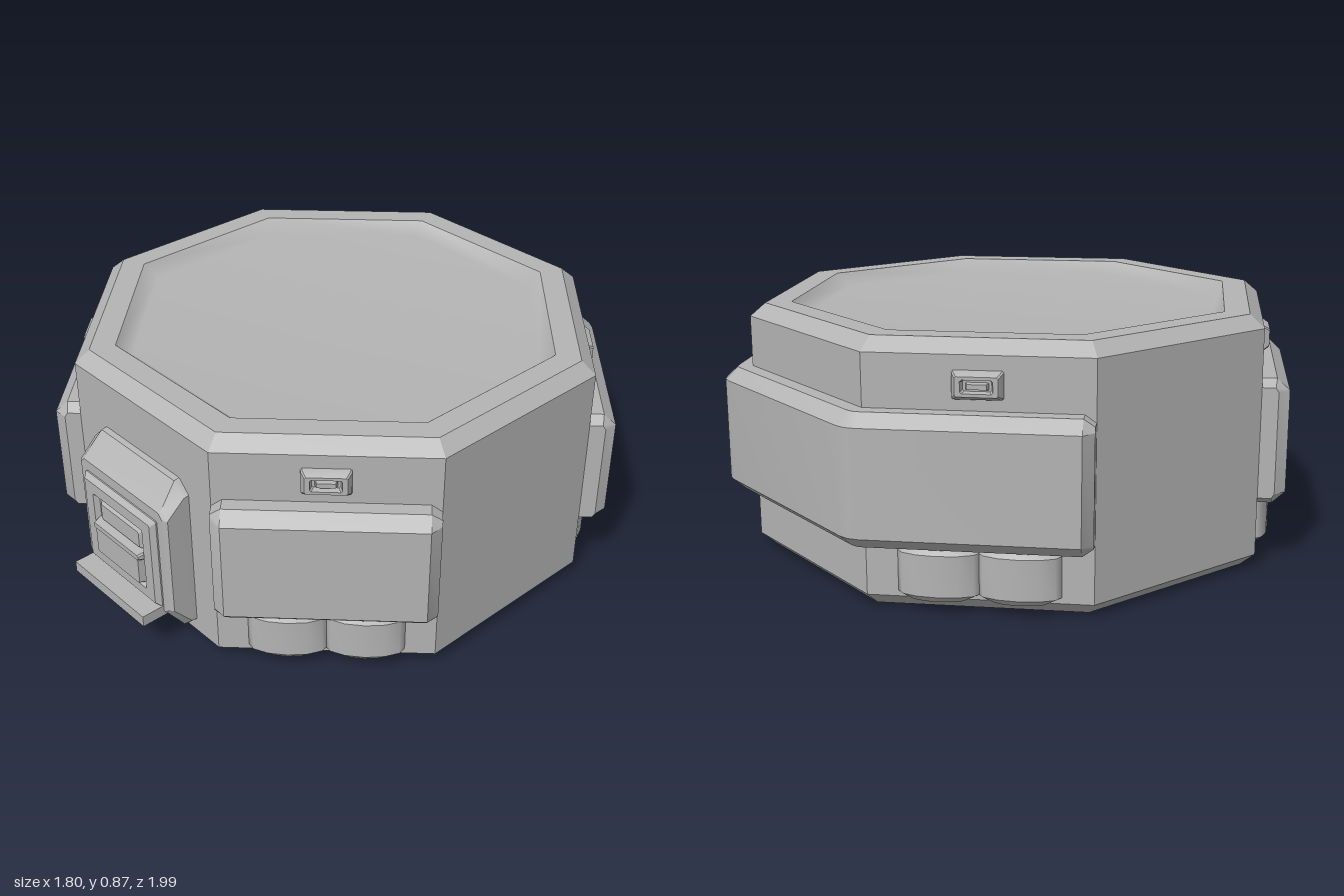
import * as THREE from 'three';
import { toCreasedNormals } from 'three/addons/utils/BufferGeometryUtils.js';

const APO = 0.86, HALF = 0.356, CZ = -0.04, RAD = Math.PI / 180;

// Skin a list of equal-length rings; each ring runs counter-clockwise seen from the last one
function loft(rings, capStart = false) {
  const n = rings[0].length, index = [];
  for (let i = 0; i < rings.length - 1; i++) {
    for (let j = 0; j < n; j++) {
      const k = (j + 1) % n, a = i * n + j, b = i * n + k;
      index.push(a, b, b + n, a, b + n, a + n);
    }
  }
  const last = (rings.length - 1) * n;
  for (let j = 1; j < n - 1; j++) {
    index.push(last, last + j, last + j + 1);
    if (capStart) index.push(0, j + 1, j);
  }
  const geo = new THREE.BufferGeometry();
  geo.setAttribute('position', new THREE.Float32BufferAttribute(rings.flat(2), 3));
  geo.setIndex(index);
  return toCreasedNormals(geo, 0.5);
}

// Rectangle ring facing +z with cut corners
function rect(hw, y0, y1, z, cut = 0.005) {
  return [
    [hw, y0 + cut, z], [hw, y1 - cut, z], [hw - cut, y1, z], [-hw + cut, y1, z],
    [-hw, y1 - cut, z], [-hw, y0 + cut, z], [-hw + cut, y0, z], [hw - cut, y0, z],
  ];
}

// Eight-sided lathe from [apothem, y] pairs, flat sides facing the axes
function octagon(profile) {
  const points = profile.map(([a, y]) => new THREE.Vector2(a / Math.cos(Math.PI / 8), y));
  return new THREE.LatheGeometry(points, 8, Math.PI / 8);
}

// One cross-section of an armour band: on face angle `deg`, `s` along the face
function bandRing(deg, s, end, normalDeg = deg) {
  const n = [Math.sin(deg * RAD), Math.cos(deg * RAD)];
  const m = [Math.sin(normalDeg * RAD), Math.cos(normalDeg * RAD)];
  const x = n[0] * APO - n[1] * s, z = CZ + n[1] * APO + n[0] * s;
  const profile = end
    ? [[-0.02, 0.245], [0.045, 0.245], [0.055, 0.26], [0.055, 0.61], [0.045, 0.625], [-0.02, 0.625]]
    : [[-0.02, 0.22], [0.05, 0.22], [0.093, 0.26], [0.093, 0.61], [0.05, 0.65], [-0.02, 0.65]];
  return profile.map(([d, y]) => [x + m[0] * d, y, z + m[1] * d]);
}

export function createModel() {
  const model = new THREE.Group();
  model.name = 'octagonalContainer';
  const grey = new THREE.MeshStandardMaterial({ color: 0xb4b4b4 });
  grey.name = 'grey';

  const add = (parent, name, geo) => {
    const mesh = new THREE.Mesh(geo, grey);
    mesh.name = name;
    parent.add(mesh);
    return mesh;
  };

  // Eight-sided body with bevelled rims, and the shallow smooth tray set into its top
  const shell = octagon([[0, 0], [0.812, 0], [APO, 0.045], [APO, 0.822], [0.812, 0.865], [0.73, 0.865]]);
  add(model, 'body', toCreasedNormals(shell, 0.5)).position.z = CZ;
  add(model, 'topTray', octagon([[0.73, 0.865], [0.68, 0.82], [0, 0.82]])).position.z = CZ;

  // Separate front armour pads and the single band wrapped around the back
  const inner = HALF - 0.035;
  for (const [name, deg] of [['leftFrontPad', 45], ['rightFrontPad', -45]]) {
    add(model, name, loft([
      bandRing(deg, -HALF, true), bandRing(deg, -inner, false),
      bandRing(deg, inner, false), bandRing(deg, HALF, true),
    ], true));
  }
  add(model, 'rearBand', loft([
    bandRing(225, -HALF, true), bandRing(225, -inner, false),
    bandRing(225, HALF, false), bandRing(225, HALF, false, 202.5), bandRing(180, -HALF, false),
    bandRing(180, HALF, false), bandRing(180, HALF, false, 157.5), bandRing(135, -HALF, false),
    bandRing(135, inner, false), bandRing(135, HALF, true),
  ], true));

  // Clip and twin rounded lower lobes on every diagonal face
  const lobeProfile = [[0.09, 0.045], [0.13, 0.065], [0.13, 0.2], [0.09, 0.222], [0, 0.222]]
    .map(([r, y]) => new THREE.Vector2(r, y));
  for (const deg of [45, 135, 225, 315]) {
    const side = new THREE.Group();
    side.name = 'diagonalFittings';
    side.position.z = CZ;
    side.rotation.y = deg * RAD;
    model.add(side);
    for (const x of [-0.126, 0.126]) {
      const lobe = add(side, 'lowerLobe', toCreasedNormals(new THREE.LatheGeometry(lobeProfile, 12), 0.6));
      lobe.position.set(x, 0, APO);
      lobe.scale.z = 0.38;
    }
    add(side, 'clipFrame', loft([
      rect(0.08, 0.686, 0.776, APO - 0.01), rect(0.078, 0.688, 0.774, APO + 0.012),
      rect(0.066, 0.7, 0.762, APO + 0.032), rect(0.05, 0.71, 0.752, APO + 0.032),
      rect(0.044, 0.714, 0.748, APO + 0.012),
    ]));
    add(side, 'clipBar', loft([
      rect(0.036, 0.718, 0.742, APO + 0.01, 0.002), rect(0.03, 0.722, 0.738, APO + 0.028, 0.002),
    ]));
  }

  // Front latch: sloped housing, raised panel, recessed window, button and ledge
  const latch = new THREE.Group();
  latch.name = 'frontLatch';
  model.add(latch);
  add(latch, 'latchHousing', loft([
    rect(0.243, 0.05, 0.65, 0.81, 0.045), rect(0.243, 0.055, 0.645, 0.84, 0.045),
    rect(0.24, 0.145, 0.57, 0.905, 0.03), rect(0.225, 0.155, 0.56, 0.915, 0.02),
  ]));
  add(latch, 'latchPanel', loft([
    rect(0.195, 0.175, 0.522, 0.91), rect(0.195, 0.175, 0.522, 0.92),
    rect(0.18, 0.19, 0.507, 0.937), rect(0.137, 0.225, 0.465, 0.937),
    rect(0.125, 0.237, 0.453, 0.92),
  ]));
  add(latch, 'latchUpperPlate', loft([
    rect(0.115, 0.365, 0.445, 0.918), rect(0.105, 0.375, 0.435, 0.93),
  ]));
  add(latch, 'latchButton', loft([
    rect(0.125, 0.237, 0.345, 0.918), rect(0.118, 0.243, 0.34, 0.95),
  ]));
  add(latch, 'latchDivider', loft([
    rect(0.135, 0.335, 0.37, 0.918), rect(0.125, 0.343, 0.362, 0.953),
  ]));
  const ledge = add(latch, 'latchLedge', new THREE.BoxGeometry(0.39, 0.04, 0.12));
  ledge.position.set(0, 0.157, 0.94);

  return model;
}
